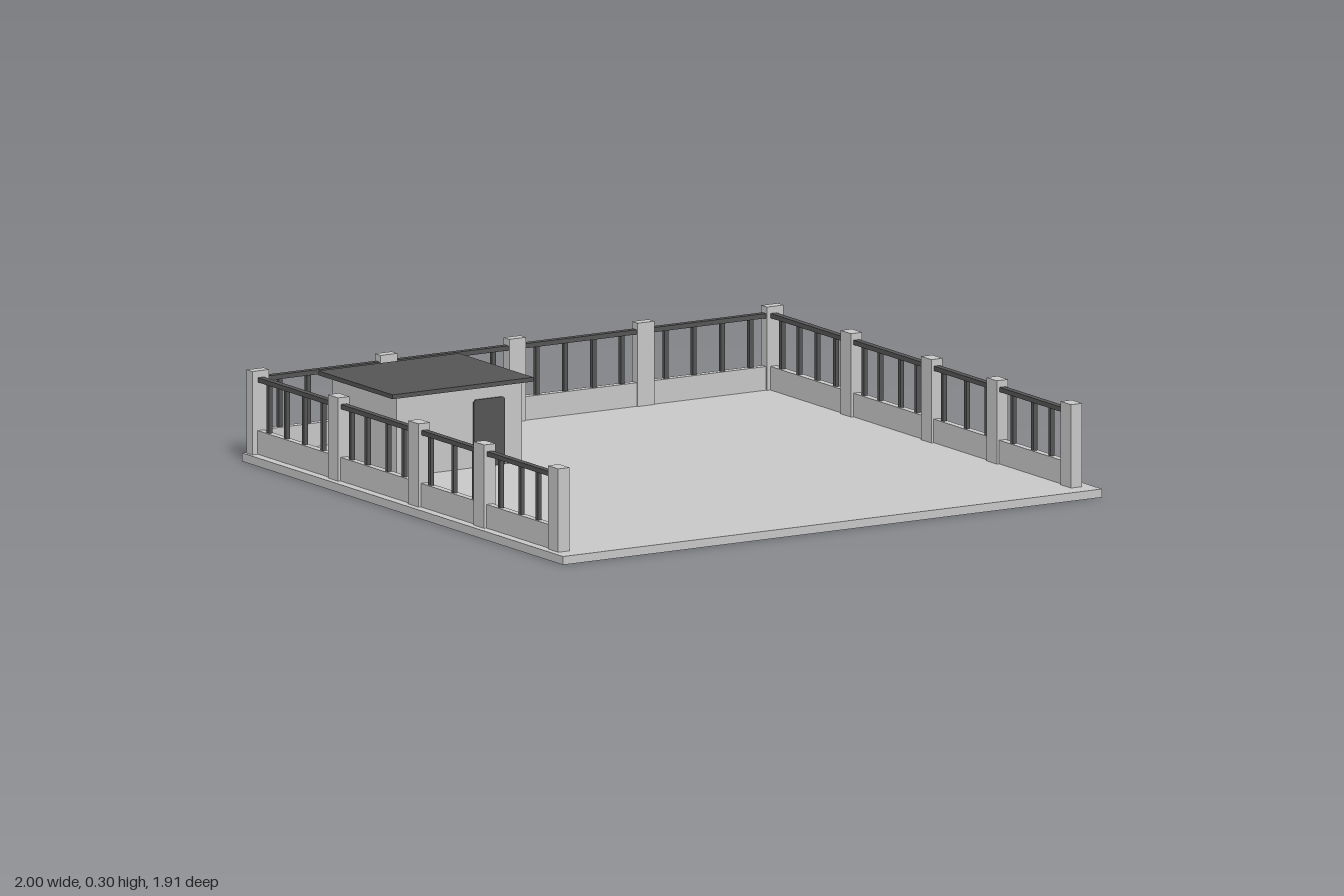
import * as THREE from 'three';

const concrete = new THREE.MeshStandardMaterial({ color: 0xc8c8c8 });
concrete.name = 'light concrete';
const darkMetal = new THREE.MeshStandardMaterial({ color: 0x555555 });
darkMetal.name = 'dark grey';

// Box given by its lower and upper limits on each axis
function box(parent, name, material, [x0, x1], [y0, y1], [z0, z1]) {
  const mesh = new THREE.Mesh(new THREE.BoxGeometry(x1 - x0, y1 - y0, z1 - z0), material);
  mesh.position.set((x0 + x1) / 2, (y0 + y1) / 2, (z0 + z1) / 2);
  mesh.name = name;
  parent.add(mesh);
  return mesh;
}

const GROUND = 0.027;
const around = (c, w) => [c - w / 2, c + w / 2];

// Straight fence along x or z: low wall, rail, posts and balusters
function fence(name, alongX, line, ends, posts, postDepth, balusters) {
  const group = new THREE.Group();
  group.name = name;
  const add = (part, material, run, y, depth) => {
    const across = around(line, depth);
    box(group, part, material, alongX ? run : across, y, alongX ? across : run);
  };
  add('lowWall', concrete, ends, [GROUND, 0.103], 0.024);
  add('rail', darkMetal, ends, [0.258, 0.273], 0.022);
  for (const p of posts) add('post', concrete, around(p, 0.062), [GROUND, 0.295], postDepth);
  for (const b of balusters) add('baluster', darkMetal, around(b, 0.014), [0.103, 0.26], 0.014);
  return group;
}

export function createModel() {
  const model = new THREE.Group();
  model.name = 'fencedYard';

  box(model, 'groundSlab', concrete, [-1, 1], [0, GROUND], [-0.956, 0.956]);

  // Back fence: four balusters in every bay
  const backPosts = [-0.958, -0.482, -0.004, 0.472, 0.951];
  const backBars = [];
  for (let i = 0; i < 4; i++) {
    const middle = (backPosts[i] + backPosts[i + 1]) / 2;
    for (let j = 0; j < 4; j++) backBars.push(middle + (j - 1.5) * 0.105);
  }
  model.add(fence('backFence', true, -0.929, [-0.958, 0.951], backPosts, 0.034, backBars));

  // Side fences: front half has three balusters per bay, rear half four
  const sidePosts = [0.861, 0.42, 0.03, -0.449];
  const sideBars = [0.742, 0.64, 0.517, 0.363, 0.24, 0.102,
    -0.056, -0.153, -0.276, -0.37, -0.54, -0.65, -0.757, -0.86];
  model.add(fence('rightFence', false, -0.957, [-0.93, 0.861], sidePosts, 0.042, sideBars));
  model.add(fence('leftFence', false, 0.945, [-0.93, 0.861], sidePosts, 0.042, sideBars));

  // Small hut with a flat roof and one door
  const hut = new THREE.Group();
  hut.name = 'hut';
  box(hut, 'hutWalls', concrete, [-0.79, -0.325], [GROUND, 0.286], [-0.755, -0.373]);
  box(hut, 'hutRoof', darkMetal, [-0.82, -0.298], [0.286, 0.3], [-0.79, -0.347]);

  // Door plate with slightly clipped top corners
  const outline = new THREE.Shape();
  outline.moveTo(-0.505, GROUND);
  outline.lineTo(-0.39, GROUND);
  outline.lineTo(-0.39, 0.238);
  outline.lineTo(-0.397, 0.245);
  outline.lineTo(-0.498, 0.245);
  outline.lineTo(-0.505, 0.238);
  const door = new THREE.Mesh(
    new THREE.ExtrudeGeometry(outline, { depth: 0.005, bevelEnabled: false }), darkMetal);
  door.position.z = -0.373;
  door.name = 'hutDoor';
  hut.add(door);
  model.add(hut);

  return model;
}
